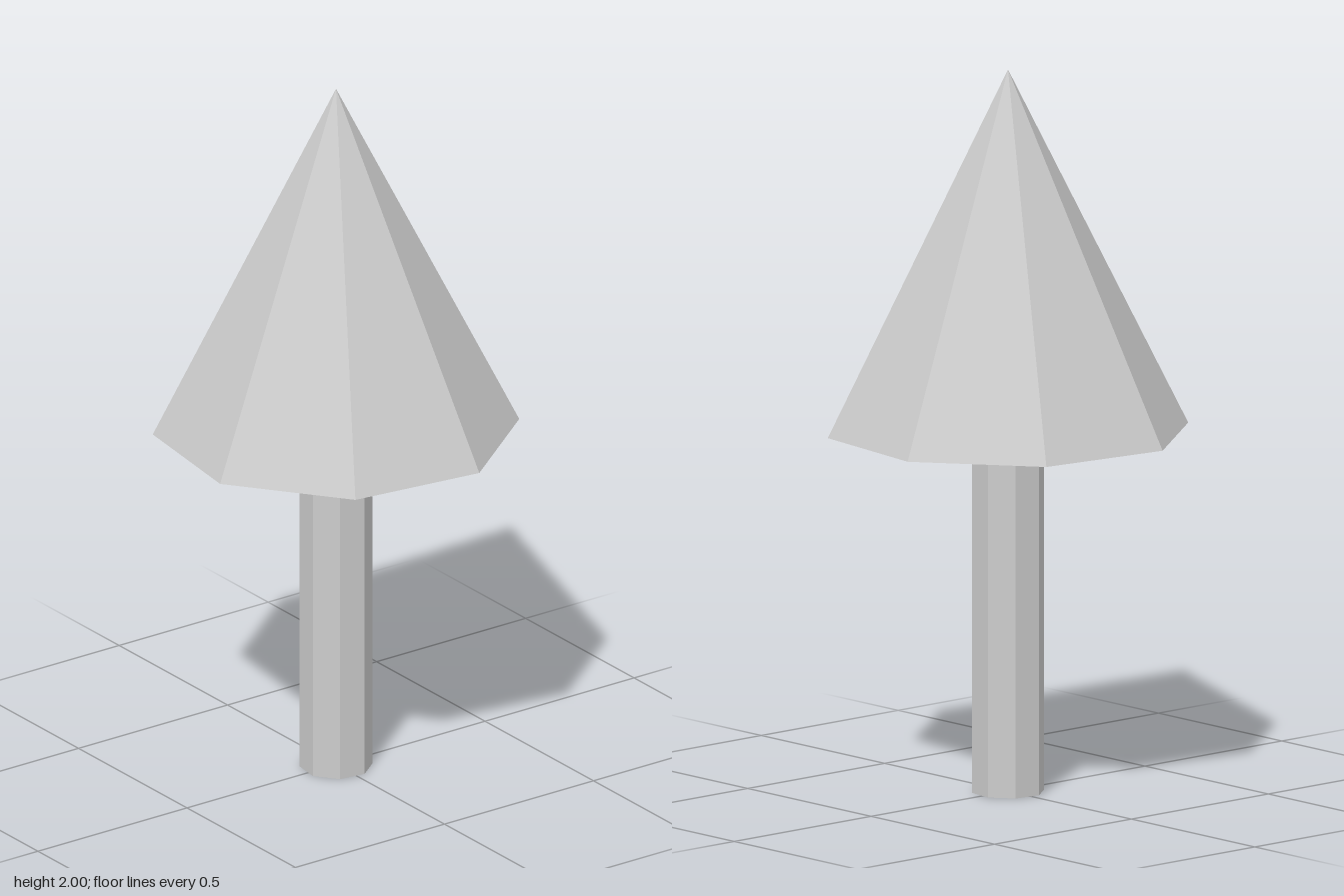
import * as THREE from 'three';

const SIDES = 8;

export function createModel() {
  const model = new THREE.Group();
  model.name = 'tree';
  const grey = new THREE.MeshStandardMaterial({ color: 0xcccccc, flatShading: true });
  grey.name = 'light grey';

  const add = (name, geometry, y) => {
    const mesh = new THREE.Mesh(geometry, grey);
    mesh.name = name;
    mesh.position.y = y;
    model.add(mesh);
  };

  // Eight-sided trunk and conical crown, both turned by the same 15 degrees
  const turn = THREE.MathUtils.degToRad(15);
  add('trunk', new THREE.CylinderGeometry(0.1, 0.1, 1, SIDES, 1, false, turn), 0.5);
  add('crown', new THREE.ConeGeometry(0.5, 1, SIDES, 1, false, turn), 1.5);

  return model;
}
